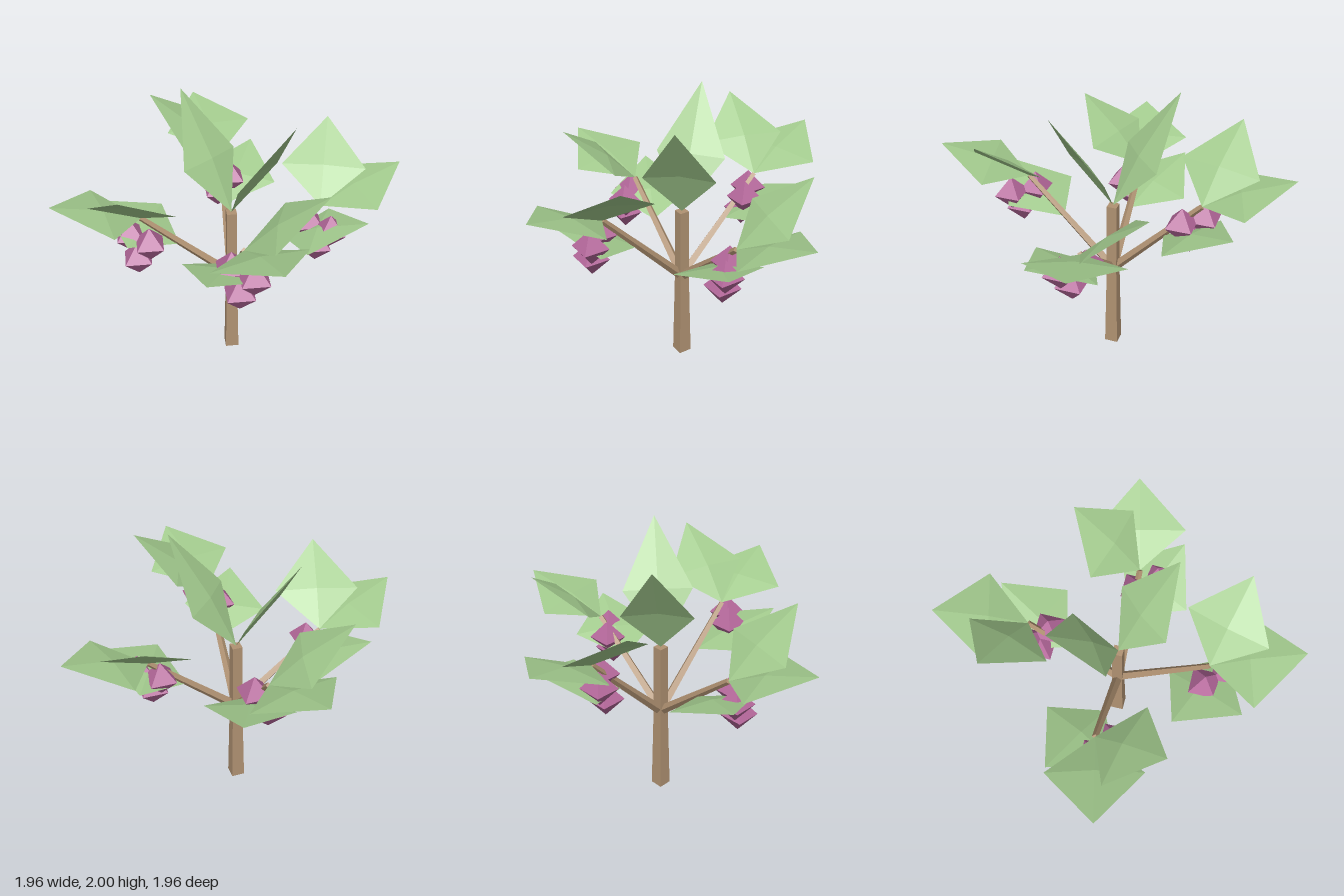
import * as THREE from 'three';

const mat = (name, color) => {
  const m = new THREE.MeshStandardMaterial({ color, flatShading: true });
  m.name = name;
  return m;
};
const v = (x, y, z) => new THREE.Vector3(x, y, z);

export function createModel() {
  const model = new THREE.Group();
  model.name = 'fruitTree';
  const bark = mat('bark', 0xb09272);
  const leafGreen = mat('leafGreen', 0xa3cb8e);
  leafGreen.side = THREE.DoubleSide;
  const fruitPurple = mat('fruitPurple', 0xb5689b);

  const add = (name, geometry, material, parent = model) => {
    const mesh = new THREE.Mesh(geometry, material);
    mesh.name = name;
    parent.add(mesh);
    return mesh;
  };

  // four-sided tapered limb between two points
  const limb = (name, a, b, r0, r1, parent) => {
    const dir = b.clone().sub(a);
    const mesh = add(name, new THREE.CylinderGeometry(r1, r0, dir.length(), 4), bark, parent);
    mesh.position.copy(a).add(b).multiplyScalar(0.5);
    // heading first, then lean, so the edges stay upright
    mesh.rotation.order = 'YXZ';
    mesh.rotation.y = Math.atan2(dir.x, dir.z);
    mesh.rotation.x = Math.acos(dir.y / dir.length());
    return mesh;
  };

  // kite-shaped leaf: second side corner mirrors the first, centre slightly raised
  const leaf = (name, base, tip, side, parent) => {
    const axis = tip.clone().sub(base);
    const t = side.clone().sub(base).dot(axis) / axis.lengthSq();
    const mid = base.clone().addScaledVector(axis, t);
    const other = mid.clone().multiplyScalar(2).sub(side);
    const up = axis.clone().cross(side.clone().sub(base)).normalize();
    const flip = up.y < 0;
    if (flip) up.negate();
    const centre = mid.clone().addScaledVector(up, 0.03);
    const ring = flip ? [base, side, tip, other] : [base, other, tip, side];
    const points = [];
    ring.forEach((p, i) => points.push(centre, p, ring[(i + 1) % 4]));
    const g = new THREE.BufferGeometry().setFromPoints(points);
    g.computeVertexNormals();
    add(name, g, leafGreen, parent);
  };

  // trunk: tapered foot and straight upper part
  limb('trunkLower', v(0, 0, 0), v(0, 0.645, 0), 0.069, 0.053);
  limb('trunkUpper', v(0, 0.645, 0), v(0, 1.21, 0), 0.053, 0.051);

  // two crown leaves
  for (const s of [1, -1]) {
    leaf('crownLeaf', v(0, 1.21, 0), v(s * 0.48, 2, -0.05), v(s * 0.19, 1.55, -0.27), model);
  }

  // four boughs, alternately high and low, each with three leaves
  for (let i = 0; i < 4; i++) {
    const drop = i % 2 ? 0.12 : 0;
    const bough = new THREE.Group();
    bough.name = 'bough';
    bough.rotation.y = i * Math.PI / 2;
    model.add(bough);
    const end = v(0.45, 1.33 - drop, 0.45);
    limb('branch', v(0, 0.67, 0), end, 0.035, 0.021, bough);
    leaf('upperLeaf', end, v(0.905, 1.775 - drop, 0.19), v(0.5, 1.52 - drop, 0.075), bough);
    leaf('outerLeaf', end, v(0.98, 1.56 - drop, 0.765), v(0.51, 1.43 - drop, 0.87), bough);
    const d = drop * 0.58;
    leaf('lowerLeaf', v(0.265, 1.04 - d, 0.265), v(0.46, 1.28 - d, 0.84), v(0.06, 1.14 - d, 0.61), bough);
  }

  // a cluster of three fruits below each bough end
  for (const sx of [1, -1]) for (const sz of [1, -1]) {
    const cluster = new THREE.Group();
    cluster.name = 'fruitCluster';
    cluster.position.set(sx * 0.45 + 0.03, sx * sz > 0 ? 1.19 : 1.07, sz * 0.45 + 0.05);
    model.add(cluster);
    for (const [x, y, z] of [[-0.093, 0, 0], [0.093, 0, 0], [0, -0.14, 0.03]]) {
      add('fruit', new THREE.OctahedronGeometry(0.13), fruitPurple, cluster).position.set(x, y, z);
    }
  }
  return model;
}
